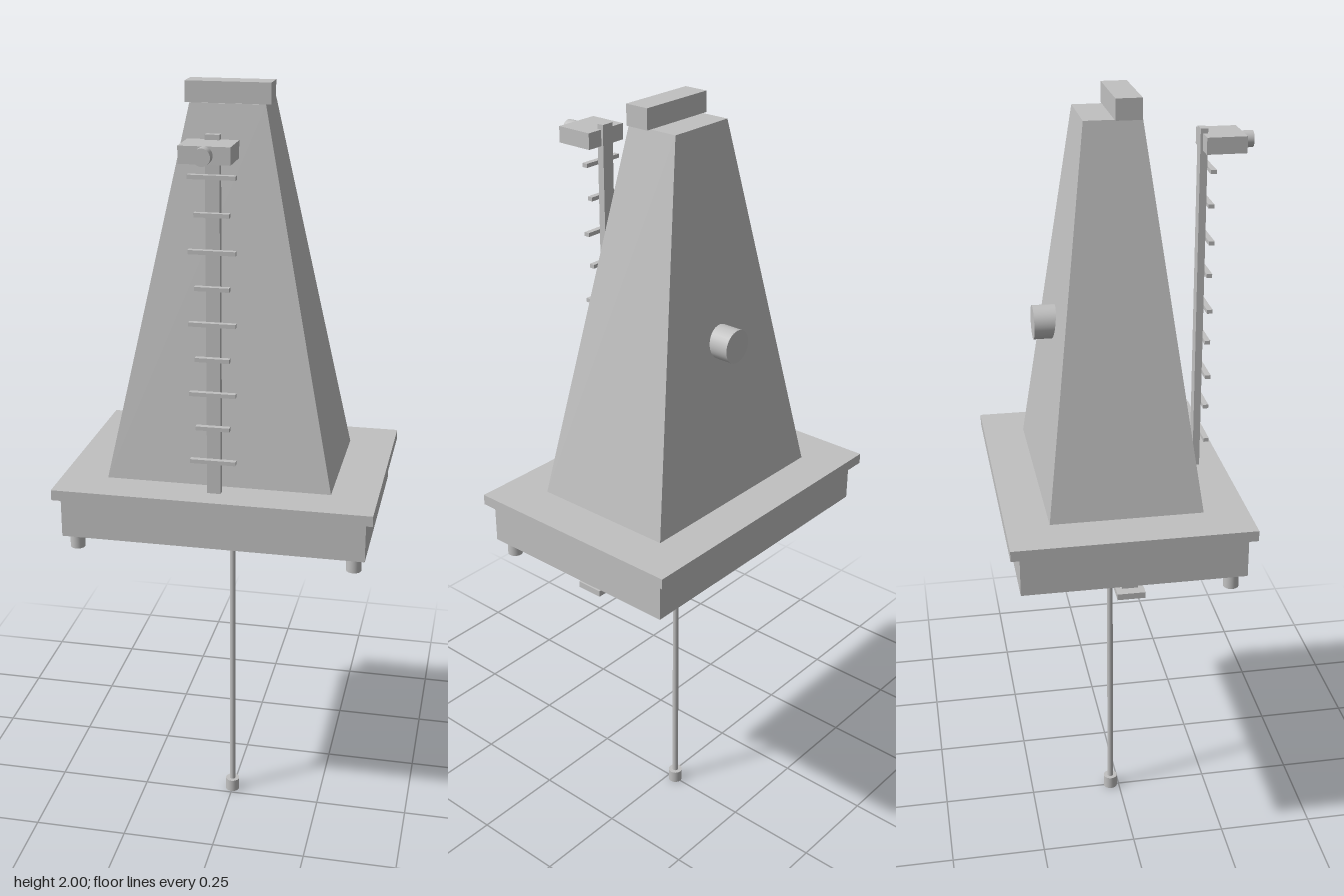
import * as THREE from 'three';

export function createModel() {
  const model = new THREE.Group();
  const grey = new THREE.MeshStandardMaterial({ color: 0xc0c0c0 });
  grey.name = 'lightGrey';

  const add = (name, geometry) => {
    const mesh = new THREE.Mesh(geometry, grey);
    mesh.name = name;
    model.add(mesh);
    return mesh;
  };
  // Box given by its extents on each axis
  const box = (name, x0, x1, y0, y1, z0, z1) => {
    const mesh = add(name, new THREE.BoxGeometry(x1 - x0, y1 - y0, z1 - z0));
    mesh.position.set((x0 + x1) / 2, (y0 + y1) / 2, (z0 + z1) / 2);
    return mesh;
  };
  // Upright cylinder
  const post = (name, r, y0, y1, x, z) => {
    const mesh = add(name, new THREE.CylinderGeometry(r, r, y1 - y0, 32));
    mesh.position.set(x, (y0 + y1) / 2, z);
    return mesh;
  };
  // Cylinder lying along z
  const knob = (name, r, z0, z1, y) => {
    const mesh = add(name, new THREE.CylinderGeometry(r, r, z1 - z0, 32));
    mesh.rotation.x = Math.PI / 2;
    mesh.position.set(0, y, (z0 + z1) / 2);
    return mesh;
  };

  // Base
  box('basePlate', -0.403, 0.403, 1.0, 1.027, -0.326, 0.273);
  box('baseBlock', -0.385, 0.385, 0.895, 1.0, -0.303, 0.254);

  // Tapered tower: a box whose corners move to the bottom and top rectangles
  const taper = new THREE.BoxGeometry(1, 1, 1);
  const p = taper.attributes.position;
  for (let i = 0; i < p.count; i++) {
    const top = p.getY(i) > 0;
    const x = top ? 0.092 : 0.286;
    const z = p.getZ(i) > 0 ? (top ? 0.041 : 0.163) : (top ? -0.098 : -0.218);
    p.setXYZ(i, Math.sign(p.getX(i)) * x, top ? 1.95 : 1.027, z);
  }
  taper.computeVertexNormals();
  add('tower', taper);
  box('towerCap', -0.104, 0.104, 1.95, 2.0, -0.025, 0.038);
  knob('windingKnob', 0.042, -0.215, -0.12, 1.442);

  // Front scale bar with alternating wide and narrow rungs
  box('scaleBar', -0.017, 0.017, 1.027, 1.905, 0.194, 0.212);
  for (let i = 0; i < 9; i++) {
    const w = i % 2 ? 0.042 : 0.057;
    const y = 1.115 + i * 0.087;
    box('rung', -w, w, y - 0.005, y + 0.005, 0.212, 0.226);
  }
  box('slidingWeight', -0.06, 0.06, 1.853, 1.893, 0.2, 0.298);
  knob('weightKnob', 0.02, 0.298, 0.325, 1.873);

  // Pads and front feet under the base
  for (const s of [-1, 1]) {
    post('foot', 0.019, 0.855, 0.895, s * 0.355, 0.22);
    for (const z of [0.157, -0.205]) {
      const x = s * 0.285;
      box('pad', x - 0.055, x + 0.055, 0.88, 0.895, z - 0.035, z + 0.035);
    }
  }

  // Hub with cross arm, end plates and rear block
  post('hub', 0.072, 0.795, 0.895, 0, -0.025);
  box('crossArm', -0.31, 0.31, 0.838, 0.875, -0.045, -0.005);
  for (const s of [-1, 1]) {
    const x = s * 0.303;
    box('armPlate', x - 0.033, x + 0.033, 0.829, 0.845, -0.06, 0.01);
    box('hubTab', s * 0.034 - 0.022, s * 0.034 + 0.022, 0.849, 0.859, 0.03, 0.052);
  }
  box('rearNeck', -0.03, 0.03, 0.84, 0.875, -0.115, -0.08);
  box('rearBlock', -0.095, 0.095, 0.827, 0.877, -0.153, -0.113);

  // Pendulum
  post('pendulumRod', 0.008, 0.02, 0.8, 0, -0.024);
  post('pendulumTip', 0.019, 0, 0.035, 0, -0.024);

  return model;
}
